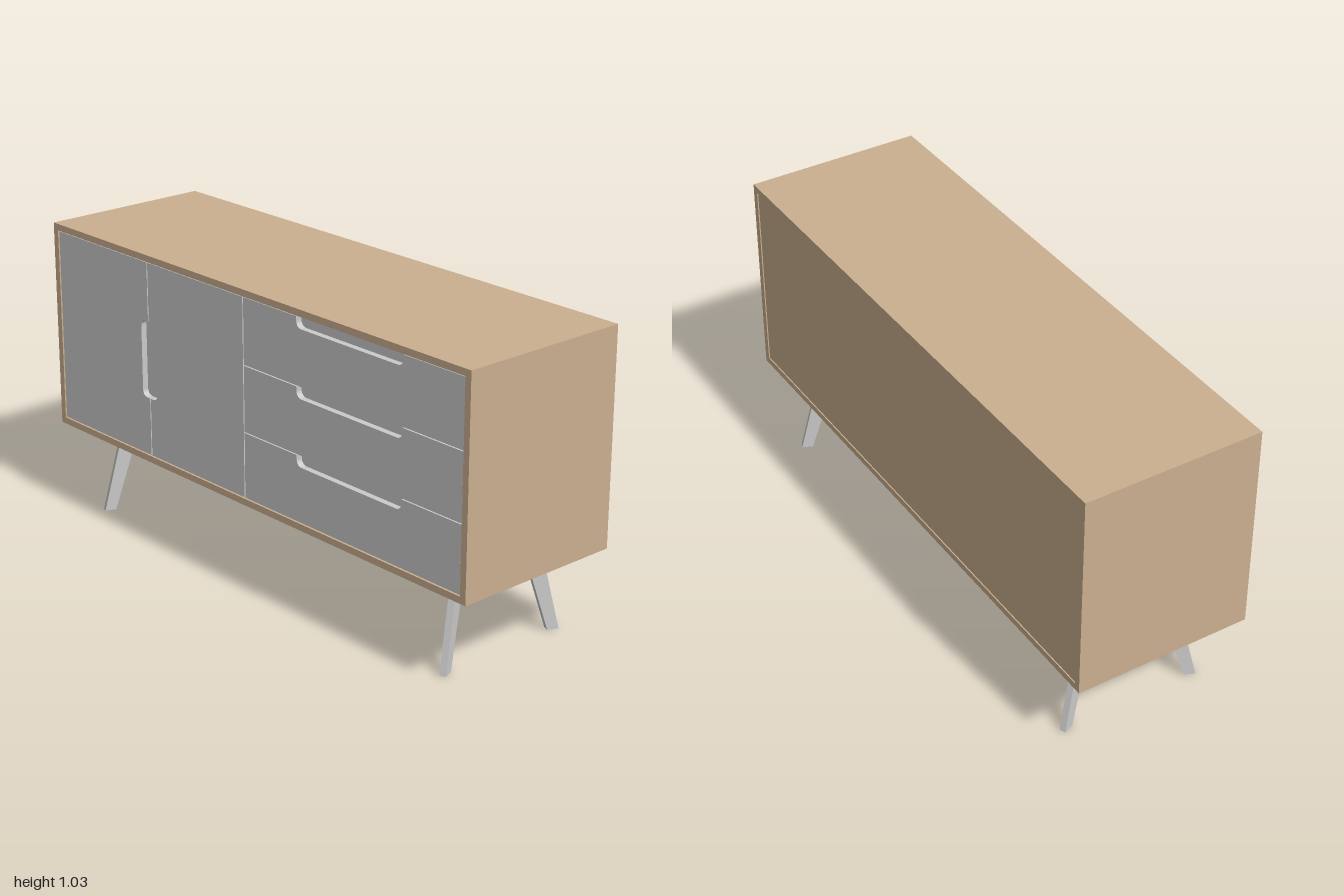
import * as THREE from 'three';

export function createModel() {
  const wood = new THREE.MeshStandardMaterial({ color: 0xcaaf8f });
  wood.name = 'oak';
  const grey = new THREE.MeshStandardMaterial({ color: 0xcacaca });
  grey.name = 'light grey';

  const model = new THREE.Group();
  model.name = 'sideboard';

  function add(parent, name, geometry, material) {
    const mesh = new THREE.Mesh(geometry, material);
    mesh.name = name;
    parent.add(mesh);
    return mesh;
  }
  // Box given by its limits on each axis
  function box(parent, name, material, [x0, x1], [y0, y1], [z0, z1]) {
    const mesh = add(parent, name, new THREE.BoxGeometry(x1 - x0, y1 - y0, z1 - z0), material);
    mesh.position.set((x0 + x1) / 2, (y0 + y1) / 2, (z0 + z1) / 2);
    return mesh;
  }

  // Carcass
  const D = 0.308, inner = 0.977, low = 0.33, high = 1.012;
  const carcass = new THREE.Group();
  carcass.name = 'carcass';
  model.add(carcass);
  box(carcass, 'topBoard', wood, [-1, 1], [high, 1.035], [-D, D]);
  box(carcass, 'bottomBoard', wood, [-1, 1], [0.307, low], [-D, D]);
  box(carcass, 'rightSide', wood, [-1, -inner], [low, high], [-D, D]);
  box(carcass, 'leftSide', wood, [inner, 1], [low, high], [-D, D]);
  box(carcass, 'backPanel', wood, [-inner, inner], [low, high], [-D + 0.004, -D + 0.02]);
  box(carcass, 'frontBacking', grey, [-inner, inner], [low, high], [0.262, 0.284]);

  // Front panel with a rounded finger notch in the middle of its top edge
  function notchedPanel(w, h, halfNotch) {
    const depth = 0.037, r = 0.022, t = h / 2, n = halfNotch;
    const s = new THREE.Shape();
    s.moveTo(-w / 2, -t);
    s.lineTo(w / 2, -t);
    s.lineTo(w / 2, t);
    s.lineTo(n, t);
    s.lineTo(n, t - depth + r);
    s.absarc(n - r, t - depth + r, r, 0, -Math.PI / 2, true);
    s.lineTo(-n + r, t - depth);
    s.absarc(-n + r, t - depth + r, r, -Math.PI / 2, -Math.PI, true);
    s.lineTo(-n, t);
    s.lineTo(-w / 2, t);
    return new THREE.ExtrudeGeometry(s, { depth: 0.021, bevelEnabled: false, curveSegments: 6 });
  }

  // Two doors, their notches meeting to form one slot
  const doorHeight = 0.676;
  [['rightDoor', -0.974, -0.489, -1], ['leftDoor', -0.485, -0.002, 1]].forEach(([name, x0, x1, turn]) => {
    const door = add(model, name, notchedPanel(doorHeight, x1 - x0, 0.135), grey);
    door.rotation.z = turn * Math.PI / 2;
    door.position.set((x0 + x1) / 2, 0.671, 0.284);
  });

  // Three drawers
  for (let i = 0; i < 3; i++) {
    const drawer = add(model, 'drawer', notchedPanel(0.972, 0.223, 0.235), grey);
    drawer.position.set(0.488, 0.671 + (i - 1) * 0.2265, 0.284);
  }

  // Base: two end frames with legs splayed outward, joined by two rails
  const base = new THREE.Group();
  base.name = 'base';
  base.position.z = -0.008;
  model.add(base);

  const T = 0.022, splay = THREE.MathUtils.degToRad(22.5);
  const barX = 0.808, barHalf = 0.12, barLow = 0.244, barHigh = 0.307;

  const legShape = new THREE.Shape();
  legShape.moveTo(-0.009, barLow);
  legShape.lineTo(0, barLow);
  legShape.quadraticCurveTo(0.025, 0.241, 0.037, 0.205);
  legShape.lineTo(0.101, 0);
  legShape.lineTo(0.14, 0);
  legShape.lineTo(0.065, barHigh);
  legShape.lineTo(-0.009, barHigh);
  const legOptions = { depth: T, bevelEnabled: false, curveSegments: 8 };

  for (const side of [0, 1]) {
    const frame = new THREE.Group();
    frame.name = side ? 'rightLegFrame' : 'leftLegFrame';
    frame.rotation.y = side * Math.PI;
    base.add(frame);
    box(frame, 'crossbar', grey, [barX - T, barX], [barLow, barHigh], [-barHalf, barHalf]);
    for (const end of [1, -1]) {
      const geometry = new THREE.ExtrudeGeometry(legShape, legOptions);
      if (end < 0) geometry.translate(0, 0, -T);
      const leg = add(frame, 'leg', geometry, grey);
      leg.rotation.y = -end * (Math.PI / 2 - splay);
      leg.position.set(barX, 0, end * barHalf);

      // Bolt head with a hexagonal centre
      const bolt = new THREE.Group();
      bolt.name = 'bolt';
      bolt.rotation.z = -Math.PI / 2;
      bolt.position.set(barX, 0.275, end * 0.03);
      frame.add(bolt);
      add(bolt, 'boltHead', new THREE.CylinderGeometry(0.009, 0.009, 0.004, 16), wood);
      add(bolt, 'boltSocket', new THREE.CylinderGeometry(0.004, 0.004, 0.005, 6), grey);
    }
  }
  for (const z of [0.03, -0.03]) {
    box(base, 'rail', grey, [-barX + T, barX - T], [barLow, barHigh], [z - 0.0125, z + 0.0125]);
  }

  return model;
}
